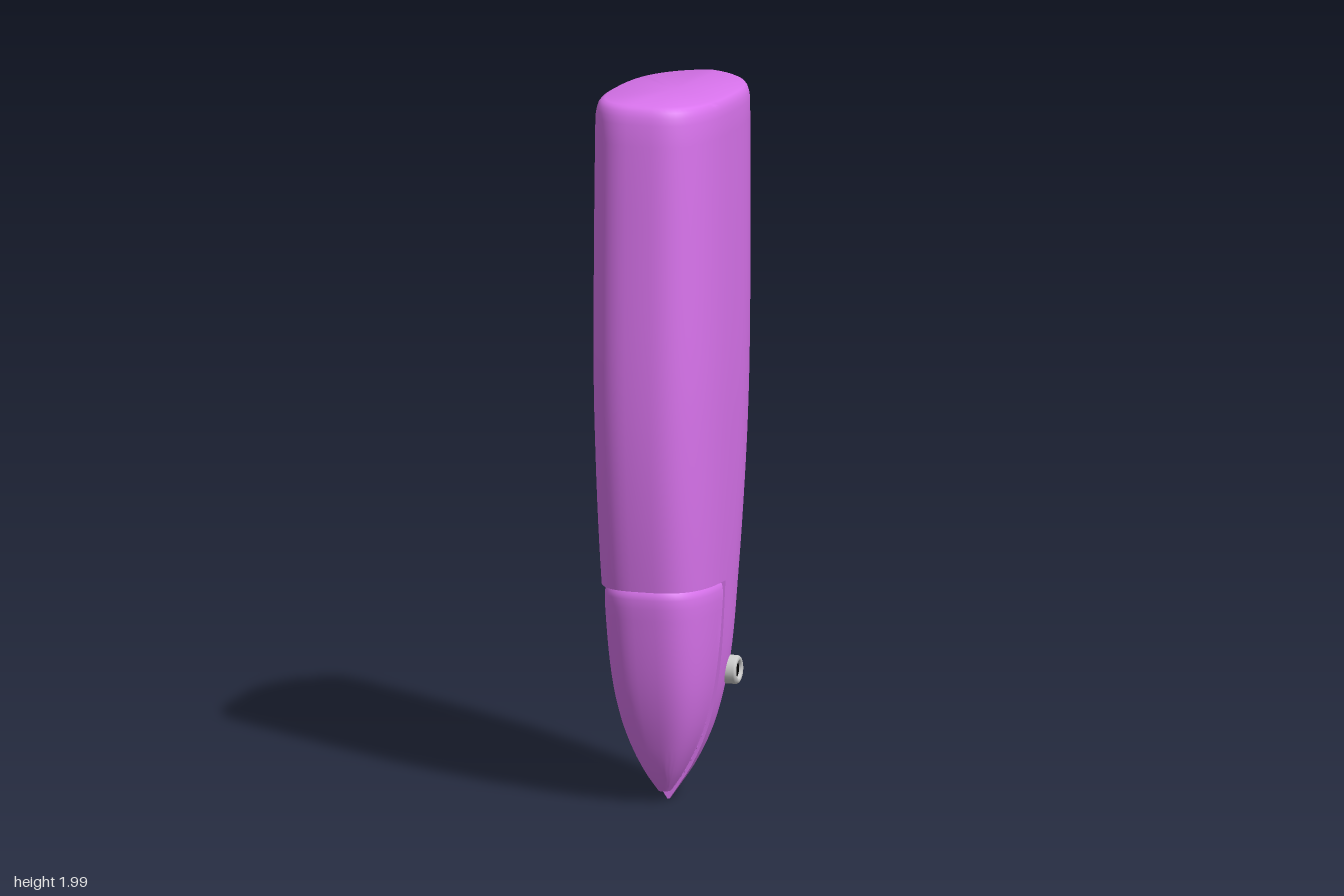
import * as THREE from 'three';
import { toCreasedNormals } from 'three/addons/utils/BufferGeometryUtils.js';

const SEG = 72, MOUTH_Y = 0.63, MOUTH_Z = 0.065;

// Outline by height: y, front z, back z, half width, z of the widest point
const outline = [
  [0.005, 0.1, 0.045, 0.003, 0.062], [0.03, 0.118, 0.018, 0.02, 0.062],
  [0.1, 0.165, -0.04, 0.066, 0.055], [0.2, 0.208, -0.1, 0.111, 0.045],
  [0.3, 0.24, -0.145, 0.137, 0.04], [0.4, 0.263, -0.18, 0.152, 0.03],
  [0.63, 0.298, -0.235, 0.166, 0.02], [0.8, 0.32, -0.267, 0.173, 0.01],
  [1.0, 0.337, -0.298, 0.179, 0], [1.2, 0.344, -0.318, 0.183, 0],
  [1.6, 0.34, -0.337, 0.183, 0], [1.95, 0.33, -0.343, 0.181, 0], [2.0, 0.326, -0.343, 0.181, 0],
];
const shape = new THREE.CubicInterpolant(outline.map(r => r[0]), outline.flatMap(r => r.slice(1)), 4, new Float32Array(4));

// One cross-section: rounded front, keeled back, limited to zMin..zMax
function section(y, { zMin = -9, zMax = 9, inset = 0 } = {}) {
  const [zf, zb, w, zm] = shape.evaluate(y);
  const ring = [];
  for (let j = 0; j < SEG; j++) {
    const t = j / SEG * Math.PI * 2, s = Math.sin(t), c = Math.cos(t);
    const power = 2 / (c > 0 ? 3 : 2.6);
    const u = Math.abs(s) ** power, v = Math.abs(c) ** power;
    const x = Math.sign(s) * u * Math.max(w - inset, 0.001);
    let z = c > 0 ? zm + (zf - inset - zm) * v : zm + (zb + inset - zm) * v * (1 - 0.2 * u);
    z = Math.min(Math.max(z, zMin), zMax);
    // the top slopes down slightly to the back
    const tilt = Math.max(0, y - 1.9) * 0.3 * (0.33 - z);
    ring.push([x, y - tilt, z]);
  }
  return ring;
}

// Skin over rings from bottom to top, with both ends capped
function loft(rings) {
  const pos = rings.flat(2), index = [], last = (rings.length - 1) * SEG;
  const centre = ring => [0, 1, 2].map(k => ring.reduce((sum, p) => sum + p[k], 0) / SEG);
  pos.push(...centre(rings[0]), ...centre(rings[rings.length - 1]));
  const bottom = rings.length * SEG, top = bottom + 1;
  for (let j = 0; j < SEG; j++) {
    const n = (j + 1) % SEG;
    for (let i = 0; i < last; i += SEG) {
      index.push(i + j, i + n, i + SEG + j, i + n, i + SEG + n, i + SEG + j);
    }
    index.push(bottom, n, j, top, last + j, last + n);
  }
  const geo = new THREE.BufferGeometry();
  geo.setAttribute('position', new THREE.Float32BufferAttribute(pos, 3));
  geo.setIndex(index);
  return toCreasedNormals(geo, 0.55);
}

const steps = (a, b, n) => Array.from({ length: n + 1 }, (_, i) => a + (b - a) * i / n);
const jawZ = y => MOUTH_Z + (0.62 - y) * 0.055;

export function createModel() {
  const group = new THREE.Group();
  const skin = new THREE.MeshStandardMaterial({ color: 0xda74ee });
  const grey = new THREE.MeshStandardMaterial({ color: 0xcccccc });
  const black = new THREE.MeshStandardMaterial({ color: 0x000000 });
  const add = (name, geo, mat, parent = group) => {
    const mesh = new THREE.Mesh(geo, mat);
    mesh.name = name;
    parent.add(mesh);
    return mesh;
  };

  // Body: cut away in front below the mouth line, rounded rim at the top
  add('body', loft([
    ...[0.005, 0.015, 0.03, 0.05, 0.075].map(y => section(y, { zMax: MOUTH_Z })),
    ...steps(0.1, MOUTH_Y, 16).map(y => section(y, { zMax: MOUTH_Z })),
    ...steps(MOUTH_Y, 1.95, 22).map(y => section(y)),
    ...[[1.97, 0.003], [1.985, 0.007], [1.995, 0.014], [2, 0.024]].map(([y, inset]) => section(y, { inset })),
  ]), skin);

  // Lower jaw: front shell with a slightly rounded upper edge
  const jawRing = (y, inset) => section(y, { zMin: jawZ(y), inset });
  add('lowerJaw', loft([
    ...[0.035, 0.05, 0.075].map(y => jawRing(y, 0.004)),
    ...steps(0.1, 0.58, 14).map(y => jawRing(y, 0.005)),
    jawRing(0.605, 0.007), jawRing(0.618, 0.01), jawRing(0.627, 0.016),
  ]), skin);

  // Teeth along both sides of the mouth gap
  const teeth = new THREE.Group();
  teeth.name = 'teeth';
  group.add(teeth);
  for (const y of steps(0.09, 0.53, 13)) {
    const width = shape.evaluate(y)[2], gap = jawZ(y) - MOUTH_Z;
    for (const side of [1, -1]) {
      const tooth = add('tooth', new THREE.ConeGeometry(0.012, gap + 0.008, 8), skin, teeth);
      tooth.rotation.x = Math.PI / 2;
      tooth.position.set(side * (width - 0.02), y, MOUTH_Z + gap / 2);
    }
  }

  // Eyes: rounded ring with a dark pupil
  const rim = [[0.04, -0.03], [0.04, 0.006], [0.037, 0.011], [0.031, 0.014], [0.025, 0.012], [0.021, 0.006], [0.021, -0.01]];
  for (const side of [1, -1]) {
    const eye = new THREE.Group();
    eye.name = side > 0 ? 'leftEye' : 'rightEye';
    const ring = new THREE.LatheGeometry(rim.map(([r, h]) => new THREE.Vector2(r, h)), 32);
    add('eyeRing', ring, grey.clone(), eye).material.side = THREE.DoubleSide;
    add('pupil', new THREE.CylinderGeometry(0.021, 0.021, 0.03, 32), black, eye).position.y = -0.01;
    eye.rotation.z = -side * Math.PI / 2;
    eye.position.set(side * 0.162, 0.36, -0.03);
    group.add(eye);
  }
  return group;
}
